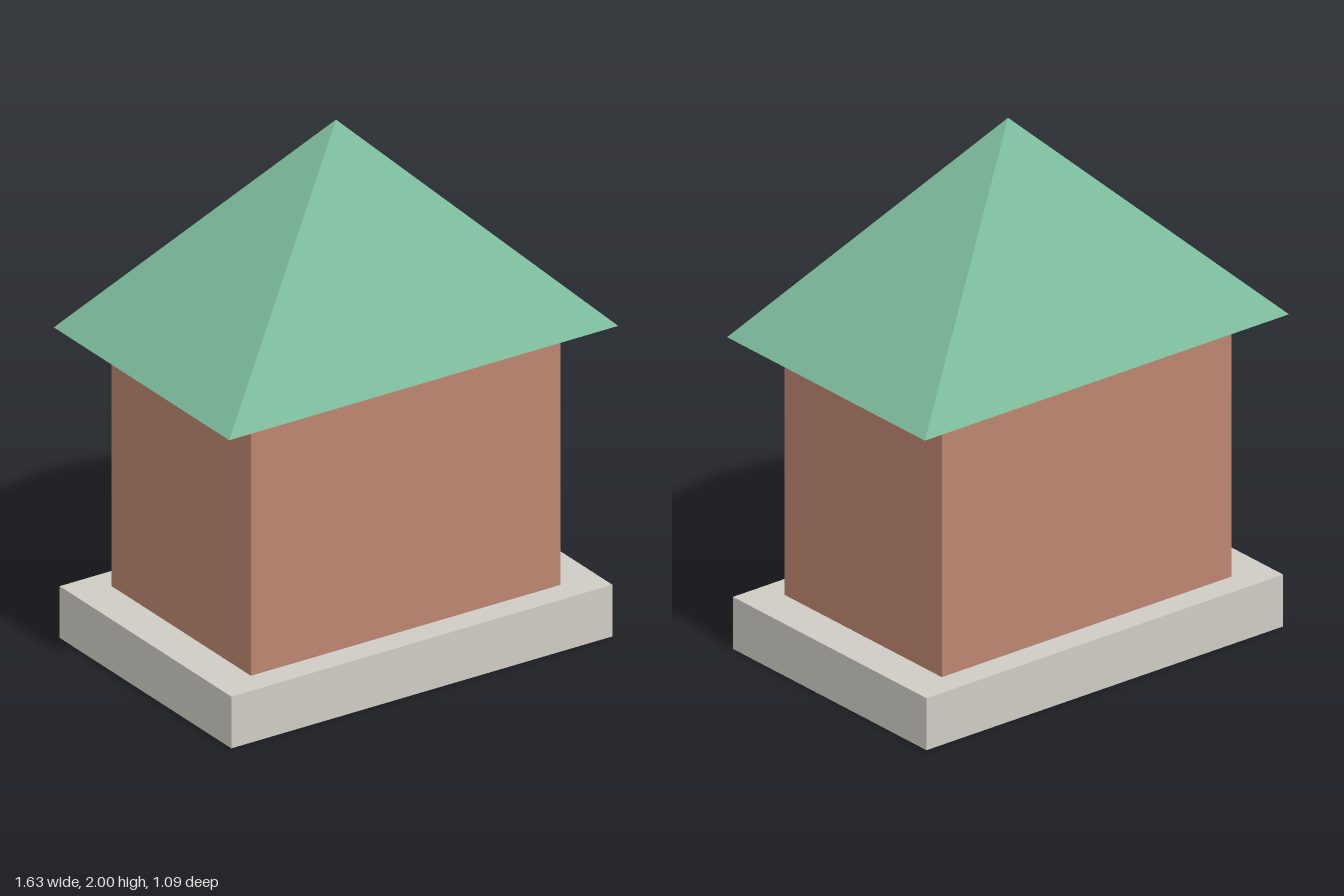
import * as THREE from 'three';

function addPart(group, name, geometry, color, y) {
  const material = new THREE.MeshStandardMaterial({ color, flatShading: true });
  const mesh = new THREE.Mesh(geometry, material);
  mesh.name = name;
  mesh.position.y = y;
  group.add(mesh);
}

export function createModel() {
  const house = new THREE.Group();
  house.name = 'house';

  // Stone plinth and brick walls
  addPart(house, 'base', new THREE.BoxGeometry(1.6, 0.2, 1.067), 0xcfccc4, 0.1);
  addPart(house, 'walls', new THREE.BoxGeometry(1.3, 1.0, 0.867), 0xbc8570, 0.7);

  // Four-sided pyramid roof: a unit-square cone stretched to the eaves
  const roof = new THREE.ConeGeometry(Math.SQRT1_2, 1, 4)
    .rotateY(Math.PI / 4)
    .scale(1.634, 0.8, 1.09);
  addPart(house, 'roof', roof, 0x7dbb9c, 1.6);

  return house;
}
